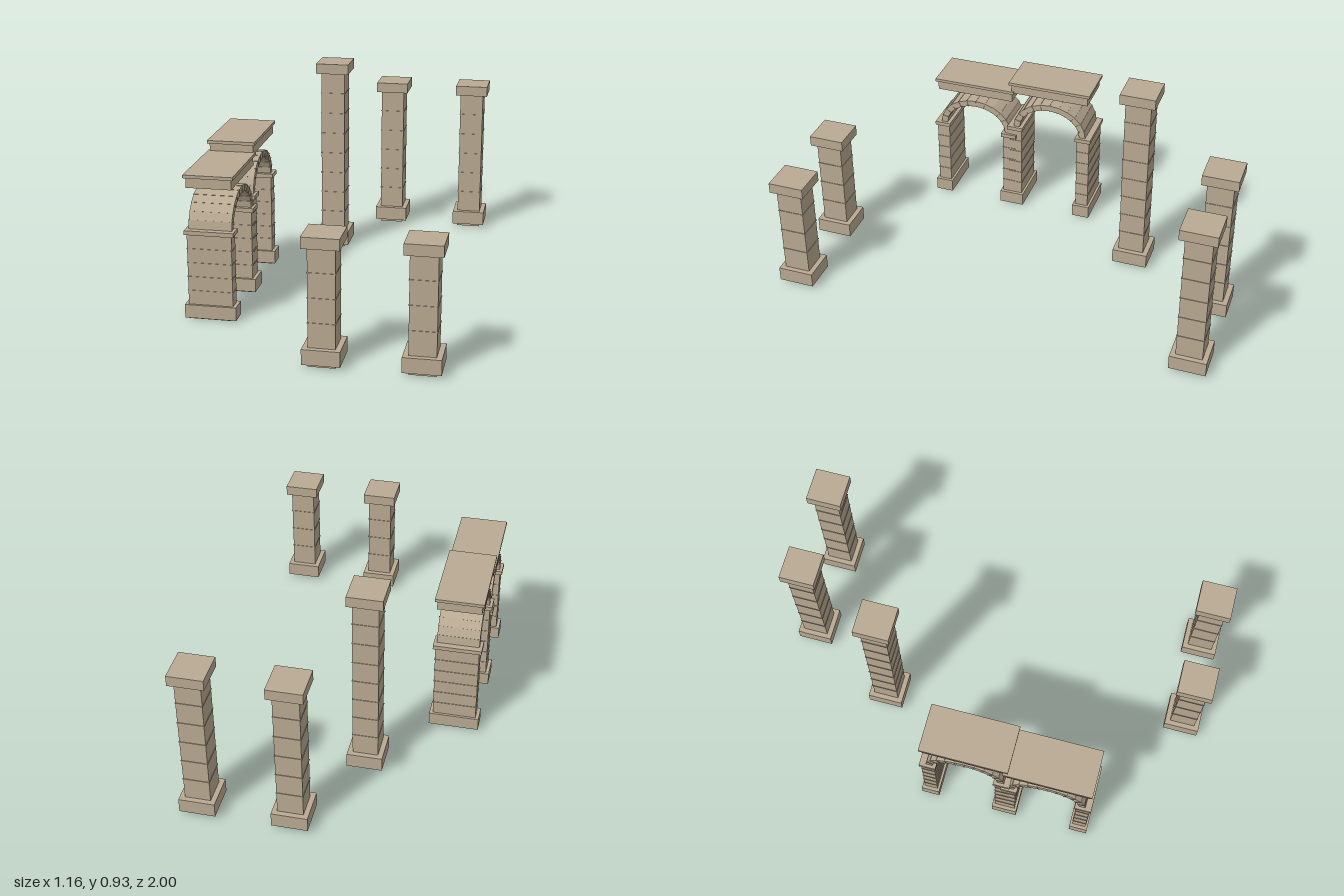
import * as THREE from 'three';

const stone = new THREE.MeshStandardMaterial({ color: 0xb9aa92 });
stone.name = 'stone';

// Box centred on (x, z), spanning y0 to y1
function block(parent, name, w, d, y0, y1, x = 0, z = 0) {
  const mesh = new THREE.Mesh(new THREE.BoxGeometry(w, y1 - y0, d), stone);
  mesh.name = name;
  mesh.position.set(x, (y0 + y1) / 2, z);
  parent.add(mesh);
  return mesh;
}

// Shaft with thin raised joints between its courses
function shaft(parent, w, d, y0, y1, courses, z = 0) {
  block(parent, 'shaft', w, d, 0, y1, 0, z);
  for (let i = 1; i < courses; i++) {
    const y = y0 + ((y1 - y0) * i) / courses;
    block(parent, 'courseJoint', w + 0.005, d + 0.005, y - 0.0015, y + 0.0015, 0, z);
  }
}

function pillar(name, x, z, height, courses) {
  const g = new THREE.Group();
  g.name = name;
  g.position.set(x, 0, z);
  shaft(g, 0.113, 0.117, 0.082, height - 0.048, courses);
  block(g, 'base', 0.158, 0.163, 0.016, 0.082);
  block(g, 'capital', 0.156, 0.161, height - 0.048, height);
  return g;
}

// Point on an ellipse in the arch plane
const onEllipse = (a, rx, ry) => new THREE.Vector2(Math.cos(a) * rx, Math.sin(a) * ry);

// Slab across the arch ring between two angles
function ringPiece(parent, name, a0, a1, grow, width, springY) {
  const inner = [0.15 - grow, 0.119 - grow], outer = [0.18 + grow, 0.148 + grow];
  const shape = new THREE.Shape([
    onEllipse(a0, ...outer), onEllipse(a1, ...outer),
    onEllipse(a1, ...inner), onEllipse(a0, ...inner),
  ]);
  const geo = new THREE.ExtrudeGeometry(shape, { depth: width, bevelEnabled: false });
  geo.translate(0, 0, -width / 2);
  geo.rotateY(Math.PI / 2);
  const mesh = new THREE.Mesh(geo, stone);
  mesh.name = name;
  mesh.position.y = springY;
  parent.add(mesh);
}

function archBay(name, z, springY, courses) {
  const g = new THREE.Group();
  g.name = name;
  g.position.set(-0.468, 0, z);

  // Piers with base and impost
  for (const s of [-1, 1]) {
    const pz = s * 0.1705;
    shaft(g, 0.196, 0.061, 0.066, springY - 0.018, courses, pz);
    block(g, 'pierBase', 0.227, 0.083, 0.006, 0.066, 0, pz);
    block(g, 'impost', 0.217, 0.076, springY - 0.018, springY + 0.001, 0, pz);
  }

  // Arch ring of wedge stones with raised joints
  const count = 12, step = Math.PI / count;
  for (let i = 0; i < count; i++) {
    ringPiece(g, 'archStone', i * step, (i + 1) * step, 0, 0.19, springY);
    if (i > 0) ringPiece(g, 'archJoint', i * step - 0.008, i * step + 0.008, 0.0015, 0.194, springY);
  }

  // Floating entablature and cornice
  block(g, 'entablature', 0.198, 0.376, springY + 0.186, springY + 0.231);
  block(g, 'cornice', 0.217, 0.398, springY + 0.231, springY + 0.245);
  return g;
}

export function createModel() {
  const model = new THREE.Group();
  model.name = 'colonnadeRuins';

  model.add(archBay('frontArchBay', 0.386, 0.401, 5));
  model.add(archBay('rearArchBay', 0.0115, 0.45, 6));

  model.add(pillar('tallPillar', -0.131, -0.491, 0.925, 8));
  for (const x of [0.097, 0.5]) {
    model.add(pillar('rearPillar', x, -0.919, 0.745, 6));
    model.add(pillar('frontPillar', x, 0.917, 0.553, 4));
  }
  return model;
}
